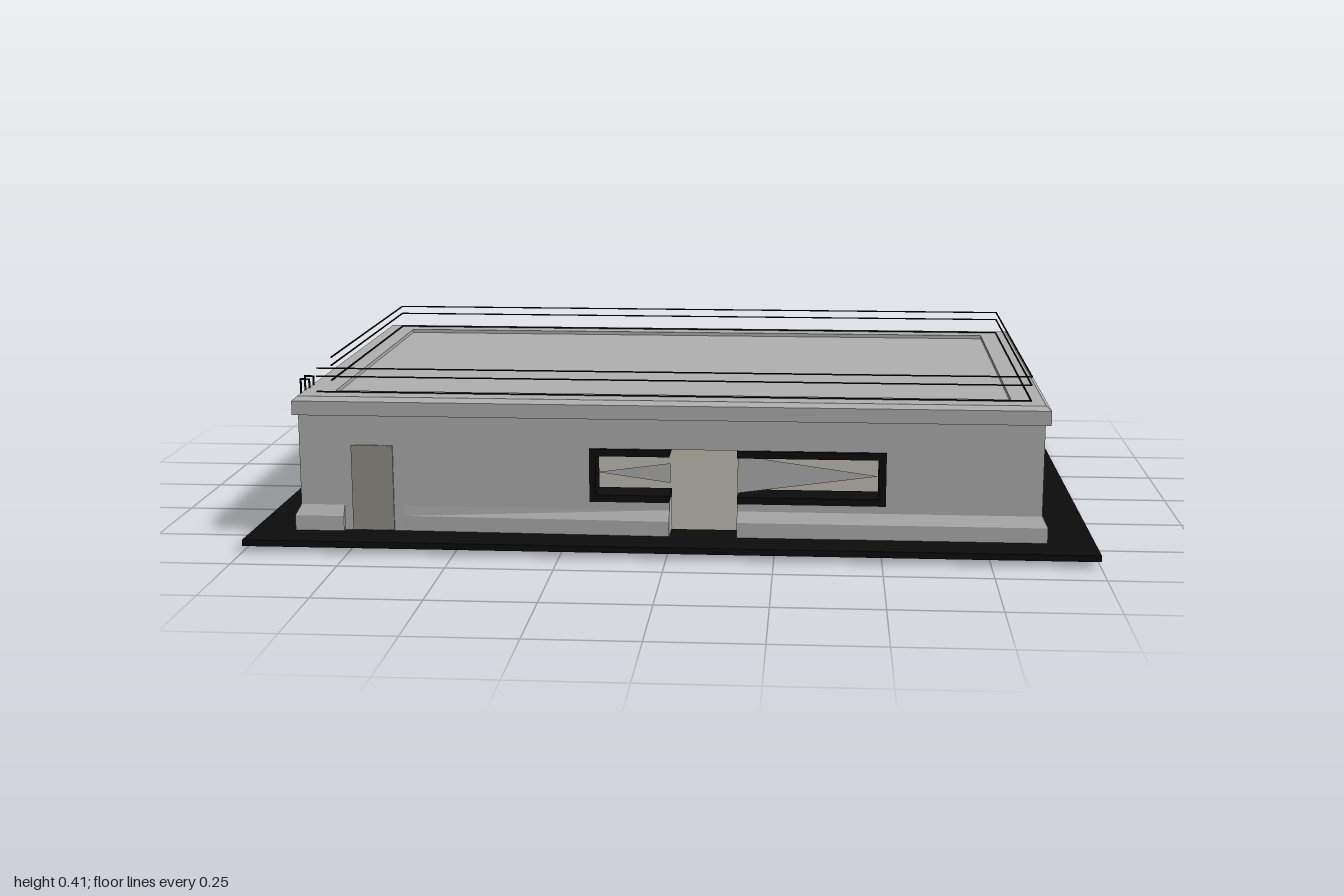
import * as THREE from 'three';

const mat = (name, color) => Object.assign(new THREE.MeshStandardMaterial({ color }), { name });

export function createModel() {
  const wall = mat('grey concrete', 0xb0b0b0);
  const tan = mat('warm grey', 0x918f88);
  const black = mat('black', 0x0c0c0c);
  const glass = mat('grey glass', 0xb0b0b0);
  glass.side = THREE.DoubleSide;

  const model = new THREE.Group();
  model.name = 'building';
  const X0 = -0.885, X1 = 0.875, Z0 = -0.53, Z1 = 0.535, T = 0.075, BASE = 0.02, TOP = 0.31;

  const add = (name, geo, material, parent = model) => {
    const m = new THREE.Mesh(geo, material);
    m.name = name;
    parent.add(m);
    return m;
  };
  // box given by its minimum and maximum on each axis
  const box = (name, x0, x1, y0, y1, z0, z1, material, parent) => {
    const m = add(name, new THREE.BoxGeometry(x1 - x0, y1 - y0, z1 - z0), material, parent);
    m.position.set((x0 + x1) / 2, (y0 + y1) / 2, (z0 + z1) / 2);
    return m;
  };
  const shapeOf = pts => new THREE.Shape(pts.map(p => new THREE.Vector2(...p)));
  const rect = (a, b, c, d) => [[a, b], [c, b], [c, d], [a, d]];
  const extrude = (shape, depth) => new THREE.ExtrudeGeometry(shape, { depth, bevelEnabled: false });

  // moulding run: profile (outward, height), mitred or tapered at its ends
  const run = (name, profile, len, x, z, angle, m0 = 1, m1 = 1, taper = 1) => {
    const geo = extrude(shapeOf(profile), len);
    const p = geo.attributes.position;
    for (let i = 0; i < p.count; i++) {
      const out = p.getX(i);
      if (p.getZ(i) < len / 2) p.setZ(i, -m0 * out);
      else {
        p.setZ(i, len + m1 * out);
        p.setX(i, out * taper);
      }
    }
    geo.computeVertexNormals();
    const m = add(name, geo, wall);
    m.position.set(x, 0, z);
    m.rotation.y = angle;
  };
  const W = X1 - X0, D = Z1 - Z0, H = Math.PI / 2;

  // slightly tilted ground frame and the floor inside it
  const ground = shapeOf(rect(-1, -0.65, 1, 0.65));
  ground.holes.push(new THREE.Path(rect(-0.81, -0.475, 0.8, 0.475).map(p => new THREE.Vector2(...p))));
  const plateGeo = extrude(ground, 0.015).translate(0, 0, -0.0075).rotateX(-H);
  const plate = add('groundPlate', plateGeo, black);
  plate.position.y = 0.015;
  plate.rotation.x = -0.0115;
  box('floor', -0.82, 0.81, 0.014, 0.026, -0.485, 0.485, tan);

  // front wall with door opening running through a wide window
  add('frontWall', extrude(shapeOf([
    [X0, BASE], [0, BASE], [0, 0.11], [-0.19, 0.11], [-0.19, 0.237], [0.51, 0.237],
    [0.51, 0.11], [0.16, 0.11], [0.16, BASE], [X1, BASE], [X1, TOP], [X0, TOP],
  ]), T), wall).position.z = Z1 - T;

  // side walls; the +x one has a window
  box('rightSideWall', X0, X0 + T, BASE, TOP, Z0, Z1 - T, wall);
  const side = shapeOf(rect(-(Z1 - T), BASE, -Z0, TOP));
  side.holes.push(new THREE.Path(rect(-0.215, 0.105, 0.215, 0.235).map(p => new THREE.Vector2(...p))));
  const sideWall = add('leftSideWall', extrude(side, T), wall);
  sideWall.rotation.y = H;
  sideWall.position.x = X1 - T;

  // open back: low wall with a gap, and a short return
  box('backLowWall', X0 + T, 0, BASE, 0.09, Z0, Z0 + T, wall);
  box('backLowWall', 0.16, X1 - T, BASE, 0.09, Z0, Z0 + T, wall);
  box('backReturn', 0.77, X1 - T, 0.09, TOP, Z0, Z0 + T, wall);

  // plinth with sloped top
  const plinth = [[0, BASE], [0.013, BASE], [0.013, 0.065], [0, 0.09]];
  run('plinthLeft', plinth, D, X1, Z0, 0);
  run('plinthRight', plinth, D, X0, Z1, Math.PI);
  run('plinthBack', plinth, -X0, X0, Z0, H, 1, 0);
  run('plinthBack', plinth, X1 - 0.16, 0.16, Z0, H, 0, 1);
  run('plinthFront', plinth, X1 - 0.16, X1, Z1, -H, 1, 0);
  run('plinthFront', plinth, 0.635, 0, Z1, -H, 0, 0, 0.1);
  run('plinthFront', plinth, -0.78 - X0, -0.78, Z1, -H, 0, 1);

  // cornice ring and recessed roof
  const cornice = [[-T, TOP], [0.012, TOP], [0.012, 0.344], [0, 0.354], [-T, 0.354]];
  run('corniceLeft', cornice, D, X1, Z0, 0);
  run('corniceRight', cornice, D, X0, Z1, Math.PI);
  run('corniceBack', cornice, W, X0, Z0, H);
  run('corniceFront', cornice, W, X1, Z1, -H);
  box('roof', X0 + T, X1 - T, TOP, 0.345, Z0 + T, Z1 - T, wall);

  // closed door
  box('door', -0.76, -0.66, 0.03, 0.237, Z1 - 0.002, Z1 + 0.004, tan);

  // front window frame, interrupted by the doorway
  const f0 = Z1 - T - 0.002, f1 = Z1 + 0.003;
  for (const [a, b] of [[-0.19, 0], [0.16, 0.51]]) {
    box('frontWindowSill', a, b, 0.108, 0.125, f0, f1, black);
    box('frontWindowHead', a, b, 0.219, 0.236, f0, f1, black);
  }
  box('frontWindowJamb', -0.19, -0.175, 0.125, 0.219, f0, f1, black);
  box('frontWindowJamb', 0.493, 0.51, 0.125, 0.219, f0, f1, black);
  const panes = [[[-0.175, 0.172], [0, 0.148], [0, 0.196]], [[0.16, 0.126], [0.493, 0.172], [0.16, 0.218]]];
  for (const pts of panes) add('frontPane', new THREE.ShapeGeometry(shapeOf(pts)), glass).position.z = 0.5;

  // side window
  const s0 = X1 - T - 0.002, s1 = X1 + 0.003;
  box('sideWindowSill', s0, s1, 0.104, 0.123, -0.215, 0.215, black);
  box('sideWindowHead', s0, s1, 0.217, 0.235, -0.215, 0.215, black);
  for (const s of [-1, 1]) {
    const z = s * 0.207;
    box('sideWindowJamb', s0, s1, 0.123, 0.217, z - 0.008, z + 0.008, black);
  }
  const sidePane = add('sidePane', new THREE.ShapeGeometry(
    shapeOf([[-0.2, 0.168], [-0.04, 0.123], [0.2, 0.168], [-0.04, 0.217]])), glass);
  sidePane.rotation.y = H;
  sidePane.position.x = 0.84;

  // roof railing, open beside the ladder
  const railing = new THREE.Group();
  railing.name = 'roofRailing';
  model.add(railing);
  const r = 0.0015;
  for (const y of [0.356, 0.393, 0.413]) {
    for (const z of [-0.5, 0.487]) box('longRail', -0.85, 0.845, y - r, y + r, z - r, z + r, black, railing);
    box('sideRail', 0.845 - r, 0.845 + r, y - r, y + r, -0.5, 0.487, black, railing);
    box('sideRail', -0.85 - r, -0.85 + r, y - r, y + r, -0.5, 0.34, black, railing);
  }

  // wall ladder hooked over the cornice
  const ladder = new THREE.Group();
  ladder.name = 'ladder';
  model.add(ladder);
  for (const z of [0.393, 0.433]) {
    box('stile', -0.905, -0.901, 0.03, 0.377, z - 0.002, z + 0.002, black, ladder);
    box('hook', -0.905, -0.88, 0.373, 0.377, z - 0.002, z + 0.002, black, ladder);
    box('hookEnd', -0.884, -0.88, 0.35, 0.377, z - 0.002, z + 0.002, black, ladder);
  }
  for (let i = 0; i < 12; i++) {
    const y = 0.05 + i * 0.026;
    box('rung', -0.905, -0.902, y, y + 0.003, 0.393, 0.433, black, ladder);
  }
  return model;
}
